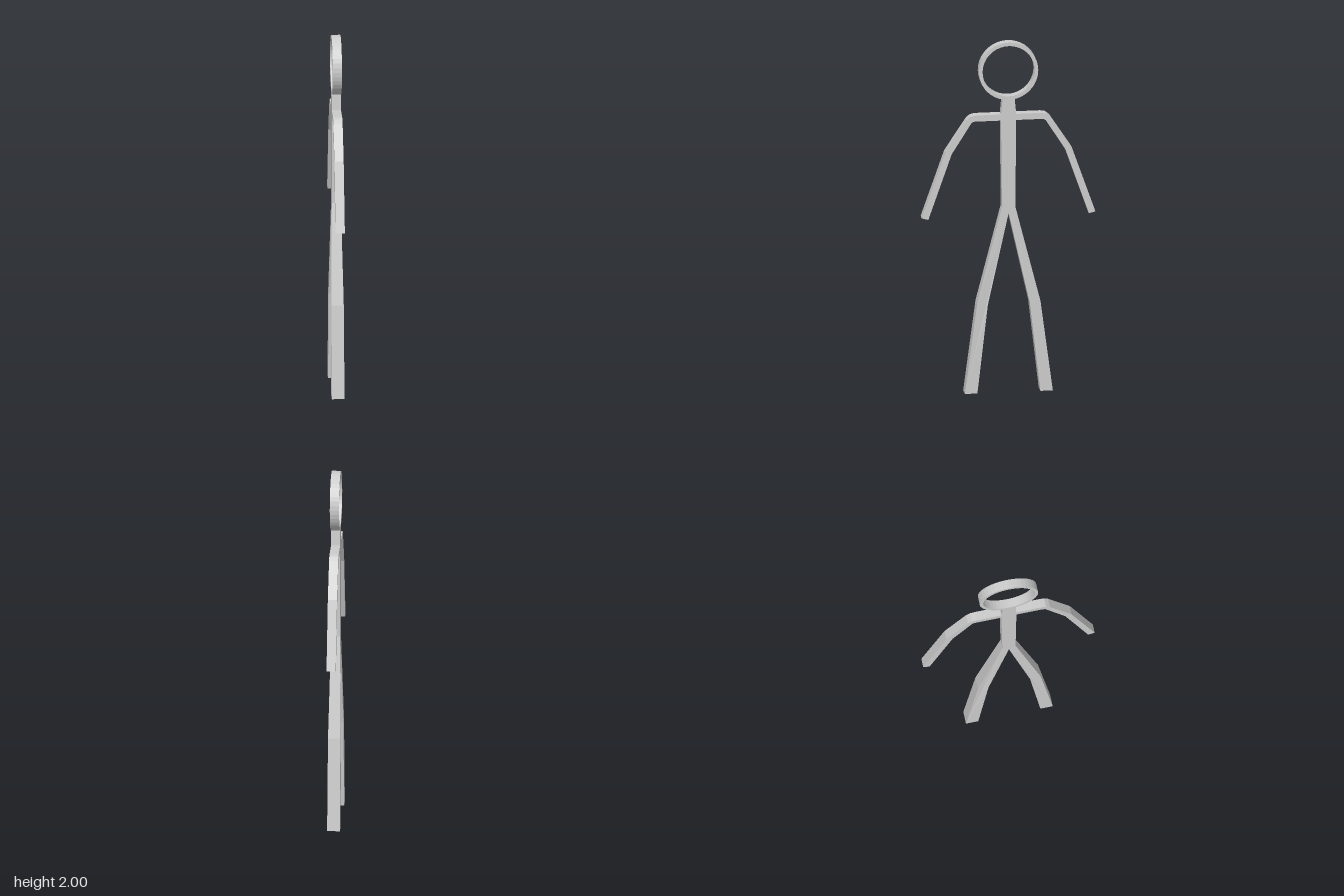
import * as THREE from 'three';

const HALF = 0.025; // half thickness of the flat figure
const material = new THREE.MeshStandardMaterial({ color: 0xcccccc, flatShading: true });

// Extrude a (z, y) outline sideways, centred on x = 0
function slab(name, shape, curveSegments = 12) {
  const geo = new THREE.ExtrudeGeometry(shape, { depth: 2 * HALF, bevelEnabled: false, curveSegments });
  geo.translate(0, 0, -HALF).rotateY(-Math.PI / 2);
  const mesh = new THREE.Mesh(geo, material);
  mesh.name = name;
  return mesh;
}

const outline = (points, side = 1) =>
  new THREE.Shape(points.map(([z, y]) => new THREE.Vector2(z * side, y)));

// Thicken a leg towards the foot
function widen(mesh) {
  const pos = mesh.geometry.attributes.position;
  for (let i = 0; i < pos.count; i++) {
    const y = pos.getY(i);
    const half = y > 0.9 ? HALF : y > 0.3 ? 0.034 : 0.035;
    pos.setX(i, Math.sign(pos.getX(i)) * half);
  }
  mesh.geometry.computeVertexNormals();
  return mesh;
}

export function createModel() {
  const group = new THREE.Group();
  group.name = 'stickFigure';

  // Head: flat-sided open ring
  const ring = new THREE.Shape().absarc(0, 1.836, 0.164, 0, Math.PI * 2);
  ring.holes.push(new THREE.Path().absarc(0, 1.836, 0.144, 0, Math.PI * 2, true));
  group.add(slab('head', ring, 20));

  // Neck and torso, pointed at the crotch
  const half = [[0.033, 1.683], [0.042, 1.59], [0.042, 1.555], [0.037, 1.06]];
  const mirrored = half.map(([z, y]) => [-z, y]).reverse();
  group.add(slab('torso', outline([...half, [0, 1.024], ...mirrored])));

  // Limbs, mirrored front to back
  const arm = [
    [0.042, 1.59], [0.18, 1.59], [0.208, 1.585], [0.23, 1.567], [0.35, 1.384], [0.48, 1.013],
    [0.444, 1.003], [0.315, 1.373], [0.205, 1.548], [0.19, 1.555], [0.042, 1.555],
  ];
  const leg = [
    [0.037, 1.06], [0.175, 0.515], [0.243, 0], [0.174, 0], [0.116, 0.505], [0, 1.024],
  ];
  for (const [side, label] of [[1, 'front'], [-1, 'back']]) {
    group.add(slab(label + 'Arm', outline(arm, side)));
    group.add(widen(slab(label + 'Leg', outline(leg, side))));
  }
  return group;
}
